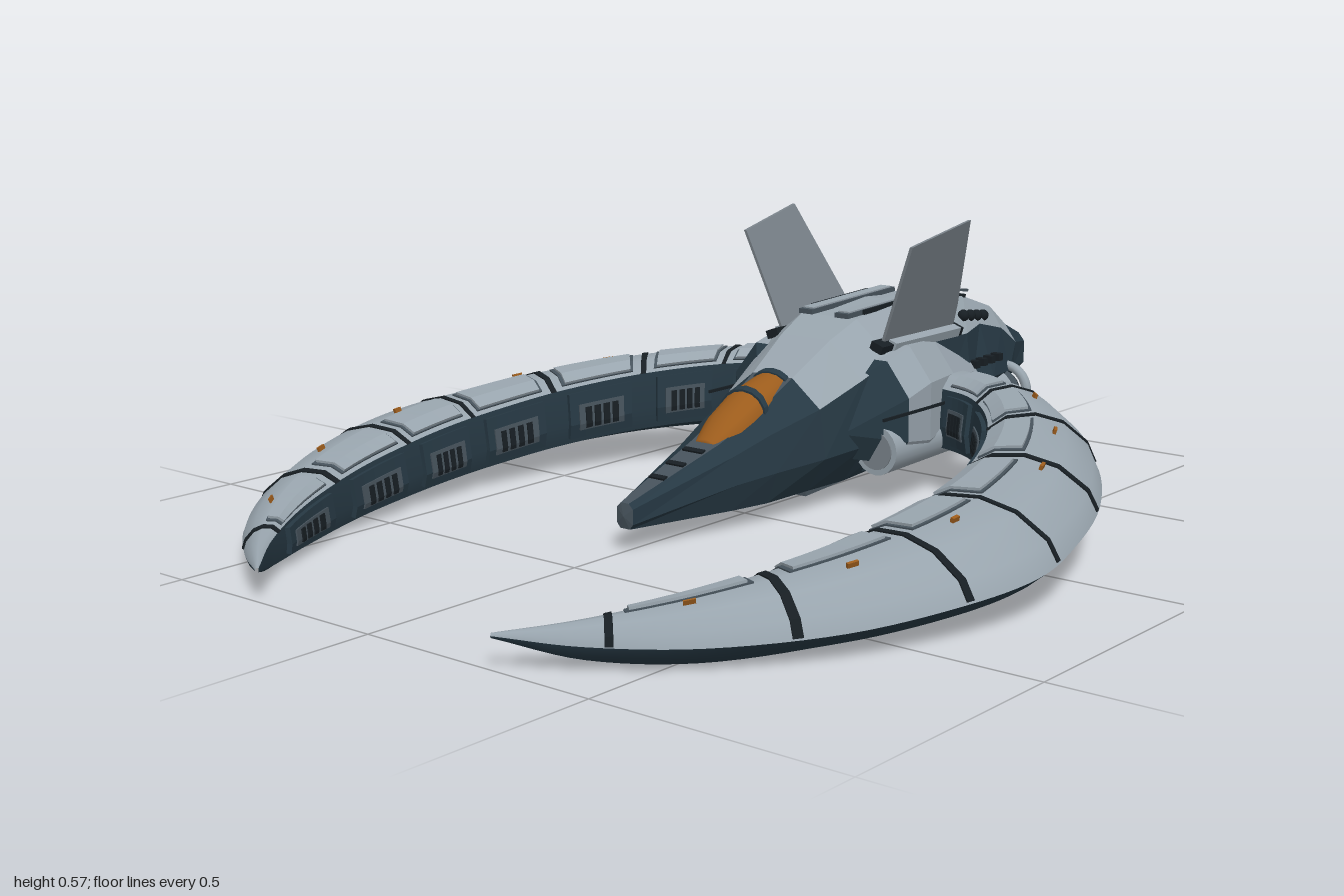
import * as THREE from 'three';

const paint = (name, color, side = THREE.FrontSide) => {
  const m = new THREE.MeshStandardMaterial({ color, side });
  m.name = name;
  return m;
};
const V = (x, y, z) => new THREE.Vector3(x, y, z);
const lerp = THREE.MathUtils.lerp;

// Surface through rows of points; columns run counter-clockwise seen from +z
function grid(rows, smooth = false) {
  const n = rows[0].length, index = [];
  for (let i = 0; i < rows.length - 1; i++)
    for (let j = 0; j < n - 1; j++) {
      const a = i * n + j, b = a + 1, d = a + n, c = d + 1;
      index.push(a, b, d, b, c, d);
    }
  let g = new THREE.BufferGeometry().setFromPoints(rows.flat());
  g.setIndex(index);
  if (!smooth) g = g.toNonIndexed();
  g.computeVertexNormals();
  return g;
}

// Closes a loft with a collapsed row at both ends
function capped(rows) {
  const collapse = (r) => {
    const c = r.reduce((s, p) => s.add(p), V(0, 0, 0)).divideScalar(r.length);
    return r.map(() => c);
  };
  return [collapse(rows[0]), ...rows, collapse(rows[rows.length - 1])];
}

function mirrored(geo) {
  const g = geo.index ? geo.toNonIndexed() : geo.clone();
  g.scale(-1, 1, 1);
  for (const a of Object.values(g.attributes))
    for (let i = 0; i < a.count; i += 3)
      for (let k = 0; k < a.itemSize; k++) {
        const t = a.getComponent(i + 1, k);
        a.setComponent(i + 1, k, a.getComponent(i + 2, k));
        a.setComponent(i + 2, k, t);
      }
  return g;
}

// Arm rows: outer x, z, inner x, z, then edge, top and bottom heights
const ARM = [
  [.22, -.59, .19, -.39, .155, .25, .085], [.34, -.565, .29, -.36, .15, .248, .08],
  [.48, -.48, .38, -.28, .14, .24, .075], [.62, -.33, .46, -.16, .125, .228, .065],
  [.74, -.12, .52, -.01, .11, .21, .05], [.805, .08, .55, .14, .093, .192, .036],
  [.83, .24, .557, .27, .08, .178, .027], [.80, .42, .55, .40, .07, .16, .018],
  [.71, .62, .53, .55, .055, .138, .01], [.57, .80, .47, .73, .048, .11, .006],
  [.42, .92, .385, .88, .05, .085, .02], [.29, 1.0, .286, .995, .062, .066, .058],
];
const curveOf = (f) => new THREE.CatmullRomCurve3(ARM.map(f), false, 'catmullrom', .5);
const outer = curveOf((r) => V(r[0], r[4], r[1]));
const inner = curveOf((r) => V(r[2], r[4], r[3]));
const heights = curveOf((r) => V(r[4], r[5], r[6]));
// Arm cross-section: across from the outer edge, height towards top (+) or bottom (-)
const SECTION = [[0, 0], [.08, .4], [.3, .82], [.55, 1], [.8, .97], [.97, .75], [1.02, 0],
  [.98, -.75], [.75, -1], [.4, -.95], [.12, -.5], [0, 0]];

function armPoint(t, u, lift = 0) {
  const i = Math.min(Math.floor(u), SECTION.length - 2), f = u - i;
  const s = lerp(SECTION[i][0], SECTION[i + 1][0], f), h = lerp(SECTION[i][1], SECTION[i + 1][1], f);
  const p = outer.getPoint(t).lerp(inner.getPoint(t), s), y = heights.getPoint(t);
  p.y = h > 0 ? lerp(y.x, y.y, h) : lerp(y.x, y.z, -h);
  if (lift) {
    const t0 = Math.min(t, .98);
    const du = armPoint(t0, i + 1).sub(armPoint(t0, i));
    const dt = armPoint(t0 + .01, u).sub(armPoint(t0, u));
    p.addScaledVector(du.cross(dt).normalize(), lift);
  }
  return p;
}

function armSkin(u0, u1) {
  const rows = [];
  for (let i = 0; i <= 66; i++) {
    const row = [];
    for (let u = u0; u <= u1; u++) row.push(armPoint(i / 66, u));
    rows.push(row);
  }
  return grid(rows, true);
}

// Raised plate following the arm surface, with a skirt on every side
function armPlate(t0, t1, u0, u1, lift) {
  const steps = Math.max(1, Math.round((t1 - t0) / .02));
  const us = [u0];
  for (let u = Math.floor(u0) + 1; u < u1; u++) us.push(u);
  us.push(u1);
  const rowAt = (t, l) => [armPoint(t, u0, -.004), ...us.map((u) => armPoint(t, u, l)), armPoint(t, u1, -.004)];
  const rows = [rowAt(t0, -.004)];
  for (let i = 0; i <= steps; i++) rows.push(rowAt(lerp(t0, t1, i / steps), lift));
  rows.push(rowAt(t1, -.004));
  return grid(rows);
}

export function createModel() {
  const root = new THREE.Group();
  root.name = 'crescentWingFighter';
  const light = paint('light grey', 0x98a4ad), navy = paint('dark navy', 0x263843);
  const mid = paint('mid grey', 0x7a838a, THREE.DoubleSide), slate = paint('slate', 0x46525b);
  const black = paint('seam black', 0x171e23), amber = paint('amber', 0x9c5c1c);

  const add = (name, geo, mat) => {
    const m = new THREE.Mesh(geo, mat);
    m.name = name;
    root.add(m);
  };
  const both = (name, geo, mat) => {
    add(name + 'Left', geo, mat);
    add(name + 'Right', mirrored(geo), mat);
  };
  const box = (w, h, d, x, y, z, rx = 0, rz = 0) =>
    new THREE.BoxGeometry(w, h, d).rotateX(rx).rotateZ(rz).translate(x, y, z);
  const tube = (r0, r1, len, x, y, z, open = false) =>
    new THREE.CylinderGeometry(r1, r0, len, 20, 1, open).rotateX(Math.PI / 2).translate(x, y, z);

  // Crescent arms
  both('armTop', armSkin(0, 5), light);
  both('armInnerWall', armSkin(5, 7), navy);
  both('armUnderside', armSkin(7, 11), navy);
  const end = SECTION.map((_, u) => armPoint(0, u));
  both('armRootCap', grid(capped([end]).slice(0, 2)), navy);

  // Arm seams, raised panels, wall vents and lamps
  const seams = [.02, .13, .25, .37, .5, .63, .76, .89];
  seams.slice(1).forEach((t) => both('armSeam', armPlate(t - .0035, t + .0035, .1, 5, .003), black));
  for (let i = 0; i < seams.length - 1; i++) {
    const a = seams[i] + .018, b = seams[i + 1] - .018;
    both('armPanelShadow', armPlate(a - .004, b + .004, 3.1, 4.75, .003), slate);
    both('armPanel', armPlate(a, b, 3.2, 4.7, .008), light);
    both('wallPanel', armPlate(a, b, 5.15, 6.7, .01), navy);
    both('wallVent', armPlate(a + .012, b - .012, 5.5, 6.3, .013), slate);
    for (let k = 1; k < 5; k++) {
      const t = lerp(a + .012, b - .012, k / 5);
      both('wallVentSlot', armPlate(t - .004, t + .004, 5.6, 6.2, .016), black);
    }
  }
  [[.17, 2.5], [.29, 2.4], [.385, 2.4], [.57, 2.75], [.70, 2.5], [.825, 2.7]].forEach(([t, u]) =>
    both('armLamp', armPlate(t - .005, t + .005, u - .05, u + .05, .009), amber));

  // Fuselage: z, bottom y, bottom x, lower side x y, upper side x y, top shoulder x y
  const HULL = [
    [-1, .155, .02, .035, .17, .035, .22, .02, .238], [-.93, .14, .03, .05, .17, .055, .23, .026, .268],
    [-.85, .125, .05, .09, .18, .065, .275, .032, .322], [-.72, .10, .08, .13, .19, .09, .305, .045, .362],
    [-.60, .09, .09, .15, .17, .135, .305, .065, .378], [-.45, .07, .10, .16, .15, .15, .31, .075, .388],
    [-.28, .055, .10, .17, .13, .16, .30, .07, .372], [-.20, .05, .10, .155, .13, .145, .265, .062, .338],
    [-.09, .048, .09, .135, .12, .12, .22, .05, .275], [.03, .045, .08, .105, .11, .09, .185, .042, .212],
    [.12, .045, .062, .08, .10, .07, .155, .034, .175], [.36, .05, .012, .02, .06, .02, .09, .01, .10],
  ];
  const hullRows = HULL.map(([z, b, xb, xl, yl, xu, yu, xt, yt]) =>
    [V(0, b, z), V(xb, b, z), V(xl, yl, z), V(xu, yu, z), V(xt, yt, z), V(0, yt, z)]);
  const band = (i0, i1, j0, j1) => grid(hullRows.slice(i0, i1 + 1).map((r) => r.slice(j0, j1 + 1)));
  both('lowerHull', band(0, 11, 0, 3), navy);
  both('tailTop', band(0, 1, 3, 5), navy);
  both('upperHull', band(1, 8, 3, 5), light);
  both('noseShoulder', band(8, 11, 3, 4), navy);
  both('noseDeck', band(8, 11, 4, 5), slate);
  both('tailCap', grid([hullRows[0].map(() => V(0, .195, -1)), hullRows[0]]), navy);
  both('noseCap', grid([hullRows[11], hullRows[11].map(() => V(0, .075, .365))]), slate);
  for (let k = 0; k < 3; k++)
    add('noseVent', box(.05 - k * .006, .008, .012, 0, .163 - k * .0165, .158 + k * .053, .3), black);

  // Canopy with frames
  const arch = (z, w, base, top, grow = 0) => Array.from({ length: 9 }, (_, k) => {
    const a = Math.PI * k / 8;
    return V((w + grow) * Math.cos(a), base + (top - base + grow) * Math.sin(a) ** .8, z);
  });
  add('canopy', grid(capped([arch(-.09, .048, .245, .284), arch(0, .055, .205, .26),
    arch(.07, .05, .175, .222), arch(.125, .03, .16, .18)]), true), amber);
  [[0, .055, .205, .26], [-.085, .049, .242, .283]].forEach(([z, w, b, t]) =>
    add('canopyFrame', grid(capped([arch(z - .006, w, b, t + .003, .004), arch(z + .006, w, b, t - .003, .004)])), navy));

  // Shoulder pods: z, inner x, outer x, bottom y, top y
  const podRow = ([z, xi, xo, yb, yt]) => [V(xi, yb, z), V(xo - .03, yb, z), V(xo, yb + .05, z),
    V(xo, yt - .07, z), V(xo - .055, yt, z), V(xi, yt, z), V(xi, yb, z)];
  const pods = [[-.62, .08, .15, .12, .29], [-.45, .1, .20, .09, .318], [-.33, .1, .225, .08, .32],
    [-.25, .1, .225, .09, .30], [-.15, .07, .14, .11, .235]].map(podRow);
  both('shoulderPod', grid(capped(pods.slice(0, 4))), light);
  both('shoulderPodFront', grid(capped(pods.slice(3))), navy);
  both('podSeam', box(.004, .006, .28, .226, .2, -.30), black);
  both('intake', tube(.045, .052, .3, .172, .122, -.36), light);
  both('intakeMouth', tube(.04, .04, .006, .172, .122, -.21), mid);

  // Canted fins and their root plates
  const shape = new THREE.Shape([[.29, .31], [.267, .535], [.455, .573], [.53, .38], [.55, .31]]
    .map(([x, y]) => new THREE.Vector2(x, y)));
  const fin = new THREE.ExtrudeGeometry(shape, { depth: .007, bevelEnabled: false }).rotateY(Math.PI / 2);
  fin.applyMatrix4(new THREE.Matrix4().makeShear(0, 0, .4, 0, 0, 0));
  if (Math.abs(fin.attributes.position.getX(0)) < .05) // keep the lean if axes are swapped
    for (let i = 0, p = fin.attributes.position; i < p.count; i++) p.setX(i, p.getX(i) + p.getY(i) * .4);
  fin.translate(-.004, 0, 0);
  fin.computeVertexNormals();
  both('fin', fin, mid);
  both('finRoot', box(.03, .018, .30, .135, .322, -.41, 0, -.35), black);
  both('finRootCover', box(.02, .02, .24, .146, .322, -.42, 0, -.35), light);

  // Dorsal plates, slots and side knobs
  both('dorsalPlateEdge', box(.034, .01, .30, .046, .385, -.41, .04), slate);
  both('dorsalPlate', box(.026, .012, .28, .046, .387, -.41, .04), light);
  both('dorsalSlot', box(.005, .01, .2, .067, .386, -.41, .04), black);
  both('dorsalRail', box(.006, .006, .19, .014, .379, -.69, -.15), slate);
  for (let k = 0; k < 4; k++) {
    const z = -.63 - k * .03;
    both('dorsalVent', box(.024, .008, .012, .036, .377 - k * .0045, z, -.13), black);
    both('sideKnob', new THREE.SphereGeometry(.013, 10, 8)
      .translate(.105 - k * .012, .337 - k * .007, -.63 - k * .045), black);
    both('flankRib', box(.022, .016, .016, .142 - k * .003, .235, -.62 - k * .035), black);
  }

  // Engines
  both('engineBody', tube(.05, .05, .30, .08, .135, -.68), slate);
  both('engineSleeve', tube(.054, .054, .12, .08, .135, -.74), light);
  both('engineRing', new THREE.TorusGeometry(.056, .011, 10, 28).translate(.08, .135, -.85), light);
  both('engineNozzle', tube(.042, .042, .02, .08, .135, -.835), black);

  // Belly plates
  add('bellyPlate', box(.17, .012, .34, 0, .052, -.26, .06), slate);
  both('bellyWing', box(.12, .012, .26, .13, .085, -.38, .08, .3), navy);
  return root;
}
